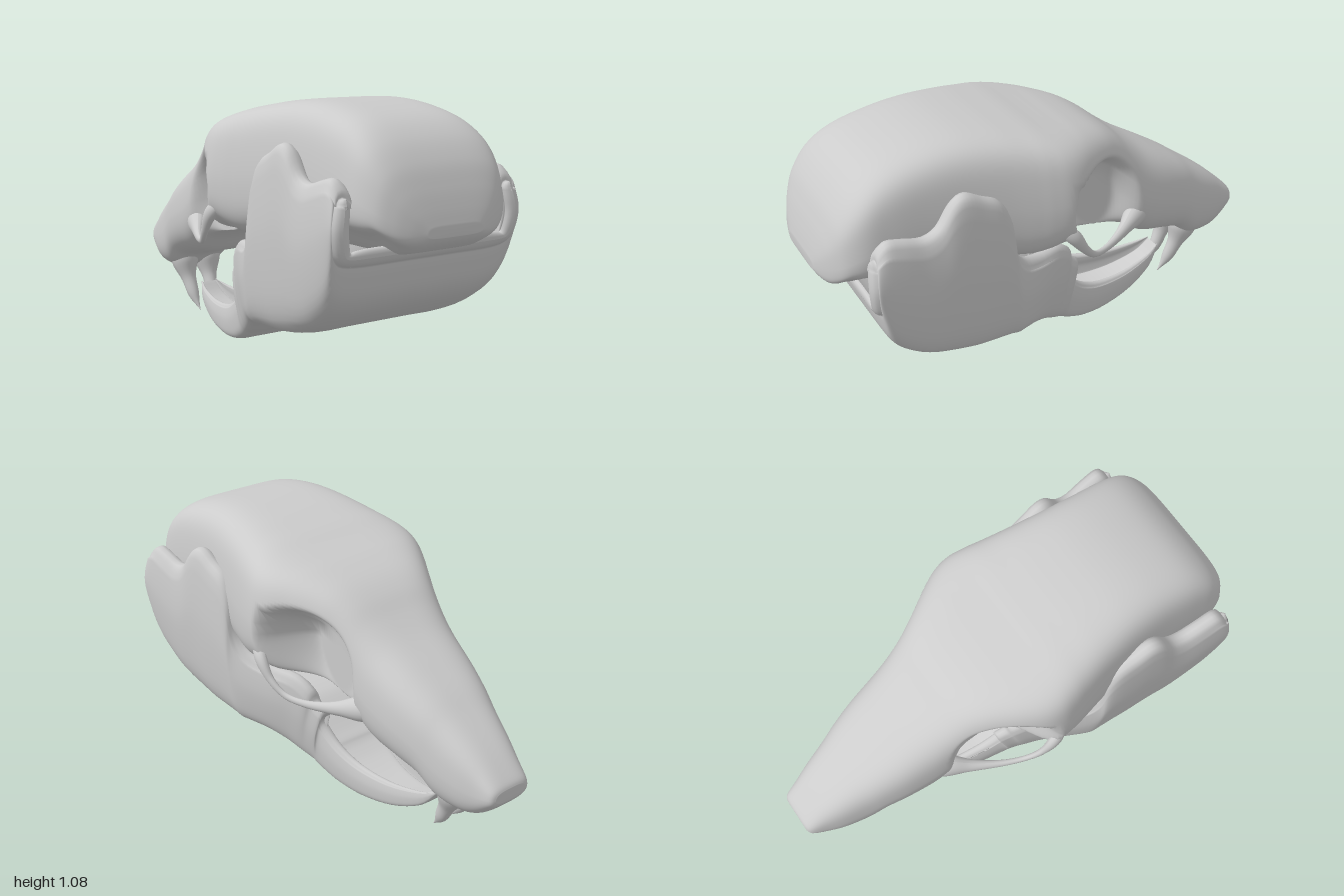
import * as THREE from 'three';

const material = new THREE.MeshStandardMaterial({ color: 0xcccccc, side: THREE.DoubleSide });
const smooth = THREE.MathUtils.smoothstep;
const V = (x, y, z) => new THREE.Vector3(x, y, z);

// Component-wise Catmull-Rom refinement of a short table of rows
function refine(rows, steps) {
  const out = [], last = rows.length - 1;
  for (let i = 0; i < last; i++) {
    const a = rows[Math.max(i - 1, 0)], b = rows[i], c = rows[i + 1], d = rows[Math.min(i + 2, last)];
    for (let k = 0; k < steps; k++) {
      const t = k / steps;
      out.push(b.map((p, n) => p + 0.5 * t * (c[n] - a[n] +
        t * (2 * a[n] - 5 * p + 4 * c[n] - d[n] + t * (3 * (p - c[n]) + d[n] - a[n])))));
    }
  }
  out.push(rows[last]);
  return out;
}

// Skin closed rings ordered along +x; optionally close both ends with fans
function loft(rings, capped) {
  const n = rings[0].length, m = rings.length, index = [];
  const points = rings.flat();
  for (let i = 0; i < m - 1; i++) {
    for (let j = 0; j < n; j++) {
      const a = i * n + j, b = i * n + (j + 1) % n;
      index.push(a, a + n, b, b, a + n, b + n);
    }
  }
  if (capped) {
    for (const [r, start] of [[0, true], [m - 1, false]]) {
      const c = points.length;
      points.push(rings[r].reduce((s, p) => s.add(p), V(0, 0, 0)).divideScalar(n));
      for (let j = 0; j < n; j++) {
        const a = r * n + j, b = r * n + (j + 1) % n;
        index.push(...(start ? [c, a, b] : [c, b, a]));
      }
    }
  }
  const g = new THREE.BufferGeometry().setFromPoints(points);
  g.setIndex(index);
  g.computeVertexNormals();
  return g;
}

// Tube whose radius follows a short list of values
function taperedTube(points, radii, zScale) {
  const curve = new THREE.CatmullRomCurve3(points.map(p => V(...p)));
  const rows = refine(radii.map(r => [r]), 12);
  const seg = rows.length - 1, sides = 20;
  const g = new THREE.TubeGeometry(curve, seg, 1, sides, false);
  const pos = g.attributes.position, v = V(0, 0, 0);
  for (let i = 0; i < pos.count; i++) {
    const ring = Math.floor(i / (sides + 1));
    const c = curve.getPointAt(ring / seg);
    v.fromBufferAttribute(pos, i).sub(c).multiplyScalar(rows[ring][0]);
    pos.setXYZ(i, c.x + v.x, c.y + v.y, c.z + v.z * zScale);
  }
  g.computeVertexNormals();
  return g;
}

// Cranium and snout: x, top, bottom, half width
function craniumGeometry() {
  const rows = refine([
    [-1, 0.385, 0.335, 0.075], [-0.985, 0.41, 0.31, 0.1], [-0.92, 0.47, 0.25, 0.125],
    [-0.85, 0.525, 0.225, 0.15], [-0.75, 0.595, 0.235, 0.178], [-0.67, 0.65, 0.295, 0.2],
    [-0.57, 0.71, 0.325, 0.225], [-0.45, 0.78, 0.355, 0.245], [-0.36, 0.842, 0.425, 0.255],
    [-0.28, 0.905, 0.465, 0.275], [-0.2, 0.95, 0.485, 0.315], [-0.1, 0.985, 0.505, 0.375],
    [-0.02, 1.005, 0.53, 0.415], [0.05, 1.022, 0.548, 0.427], [0.12, 1.04, 0.53, 0.418],
    [0.19, 1.053, 0.522, 0.402], [0.3, 1.07, 0.535, 0.378], [0.45, 1.08, 0.545, 0.355],
    [0.6, 1.067, 0.545, 0.345], [0.75, 1.028, 0.545, 0.345], [0.85, 0.965, 0.547, 0.342],
    [0.92, 0.88, 0.56, 0.312], [0.96, 0.795, 0.58, 0.262], [0.985, 0.72, 0.6, 0.2],
    [1, 0.66, 0.62, 0.13]], 6);
  const sides = 128;
  return loft(rows.map(([x, top, bottom, w]) => {
    const ring = [];
    const boxy = 3.4 + 1.4 * smooth(x, -0.45, -0.2);
    for (let j = 0; j < sides; j++) {
      const a = j / sides * Math.PI * 2, c = Math.cos(a), s = Math.sin(a);
      const e = 2 / (s > 0 ? boxy : boxy - 0.6);
      const sy = Math.sign(s) * Math.abs(s) ** e;
      let y = (top + bottom) / 2 + sy * (top - bottom) / 2;
      let z = Math.sign(c) * Math.abs(c) ** e * w * (1 - 0.1 * Math.max(sy, 0));
      // Raised underside on both flanks of the skull base
      y += 0.07 * Math.max(-sy, 0) * smooth(Math.abs(z), 0.14, 0.3) * smooth(x, 0.3, 0.6) * (1 - smooth(x, 0.9, 1));
      // Hollow of the eye socket, open underneath
      const dy = y - 0.68, dx = (x + 0.17 - 0.22 * dy) / 0.2;
      const d = Math.hypot(dx, dy / (dy > 0 ? 0.195 : 0.33));
      const hollow = 1 - smooth(d, 0.55, 1.05);
      z += (Math.sign(z) * Math.min(Math.abs(z), 0.17) - z) * hollow;
      ring.push(V(x, y, z));
    }
    return ring;
  }), true);
}

// Lower jaw: U-shaped sections spanning from lower edge to upper rim
function jawGeometry() {
  // lower x, y, rim x, y, half width
  const rows = refine([
    [-0.64, 0.165, -0.64, 0.176, 0.04], [-0.58, 0.09, -0.565, 0.152, 0.075],
    [-0.45, 0.028, -0.42, 0.133, 0.115], [-0.3, 0.002, -0.27, 0.147, 0.15],
    [-0.18, 0.012, -0.165, 0.195, 0.18], [-0.11, 0.035, -0.095, 0.26, 0.2],
    [-0.07, 0.053, -0.085, 0.3, 0.212], [-0.04, 0.07, -0.118, 0.35, 0.222],
    [-0.01, 0.085, -0.075, 0.39, 0.238], [0.02, 0.1, -0.06, 0.44, 0.255],
    [0.07, 0.13, 0.01, 0.488, 0.285], [0.14, 0.168, 0.125, 0.503, 0.335],
    [0.21, 0.186, 0.215, 0.54, 0.38], [0.25, 0.19, 0.268, 0.62, 0.403],
    [0.29, 0.192, 0.29, 0.77, 0.412], [0.35, 0.193, 0.335, 0.855, 0.418],
    [0.43, 0.197, 0.41, 0.895, 0.425], [0.5, 0.208, 0.48, 0.93, 0.43],
    [0.56, 0.223, 0.535, 0.908, 0.435], [0.62, 0.243, 0.595, 0.828, 0.44],
    [0.69, 0.275, 0.66, 0.802, 0.445], [0.77, 0.335, 0.74, 0.822, 0.452],
    [0.815, 0.4, 0.805, 0.834, 0.455], [0.835, 0.48, 0.845, 0.8, 0.455],
    [0.84, 0.52, 0.852, 0.77, 0.45]], 4);
  // Half section: width share, height share, inward direction
  const half = refine([
    [0, 0, 0, 1], [0.35, 0, 0, 1], [0.65, 0, 0.15, 1], [0.85, 0.035, 0.6, 0.8],
    [0.94, 0.13, 0.9, 0.4], [0.98, 0.3, 1, 0.1], [1, 0.55, 1, 0],
    [0.985, 0.75, 1, 0], [0.96, 0.9, 0.9, 0]], 3);
  const section = ([bx, by, tx, ty, w], fill, end) => {
    const len = Math.hypot(tx - bx, ty - by);
    const th = Math.min(0.085, 0.27 * len, 0.25 * w);
    const at = (s, z) => V(bx + (tx - bx) * s + 0.08 * end * s * (1 - s), by + (ty - by) * s, z);
    const skin = depth => half.map(([k, s, nz, ns]) =>
      at(s + ns * th * depth / len, Math.max(0, w * k - nz * th * depth)));
    // Rounded rim between the outer and inner skins
    const rim = [];
    const s0 = 1 - 0.5 * th / len;
    for (let k = 0; k <= 6; k++) {
      const a = k / 6 * Math.PI;
      rim.push(at(s0 + (1 - s0) * Math.sin(a), w * 0.945 - th * (0.45 - 0.45 * fill * Math.cos(a))));
    }
    const side = [...skin(0.5 - fill / 2), ...rim, ...skin(0.5 + fill / 2).reverse()];
    const mirrored = side.slice(1, -1).reverse().map(p => V(p.x, p.y, -p.z));
    return [...side, ...mirrored];
  };
  const rings = rows.map((r, i) => section(r, 1, smooth(r[0], 0.7, 0.84)));
  rings.unshift(section(rows[0], 0, 0));
  // Rounded rear edge
  const back = rows[rows.length - 1];
  for (const [fill, shift] of [[0.9, 0.009], [0.65, 0.016], [0.35, 0.02], [0, 0.022]]) {
    rings.push(section(back, fill, 1).map(p => p.add(V(shift, 0, 0))));
  }
  return loft(rings, false);
}

export function createModel() {
  const group = new THREE.Group();
  const add = (name, geometry) => {
    const mesh = new THREE.Mesh(geometry, material);
    mesh.name = name;
    group.add(mesh);
  };
  add('cranium', craniumGeometry());
  add('lowerJaw', jawGeometry());
  for (const [side, s] of [['left', 1], ['right', -1]]) {
    // Cheek arch under the eye socket
    add(side + 'CheekArch', taperedTube([
      [-0.48, 0.52, 0.15 * s], [-0.38, 0.505, 0.215 * s], [-0.27, 0.482, 0.282 * s],
      [-0.17, 0.474, 0.335 * s], [-0.09, 0.487, 0.37 * s], [-0.03, 0.54, 0.395 * s],
      [0.03, 0.62, 0.4 * s], [0.11, 0.69, 0.36 * s]],
    [0.03, 0.052, 0.03, 0.018, 0.014, 0.018, 0.03, 0.02], 0.8));
    // Upper front tooth
    add(side + 'UpperIncisor', taperedTube([
      [-0.77, 0.34, 0.06 * s], [-0.75, 0.24, 0.06 * s], [-0.715, 0.15, 0.055 * s],
      [-0.685, 0.09, 0.05 * s], [-0.645, 0.035, 0.045 * s]],
    [0.07, 0.068, 0.038, 0.027, 0.002], 0.9));
  }
  return group;
}
